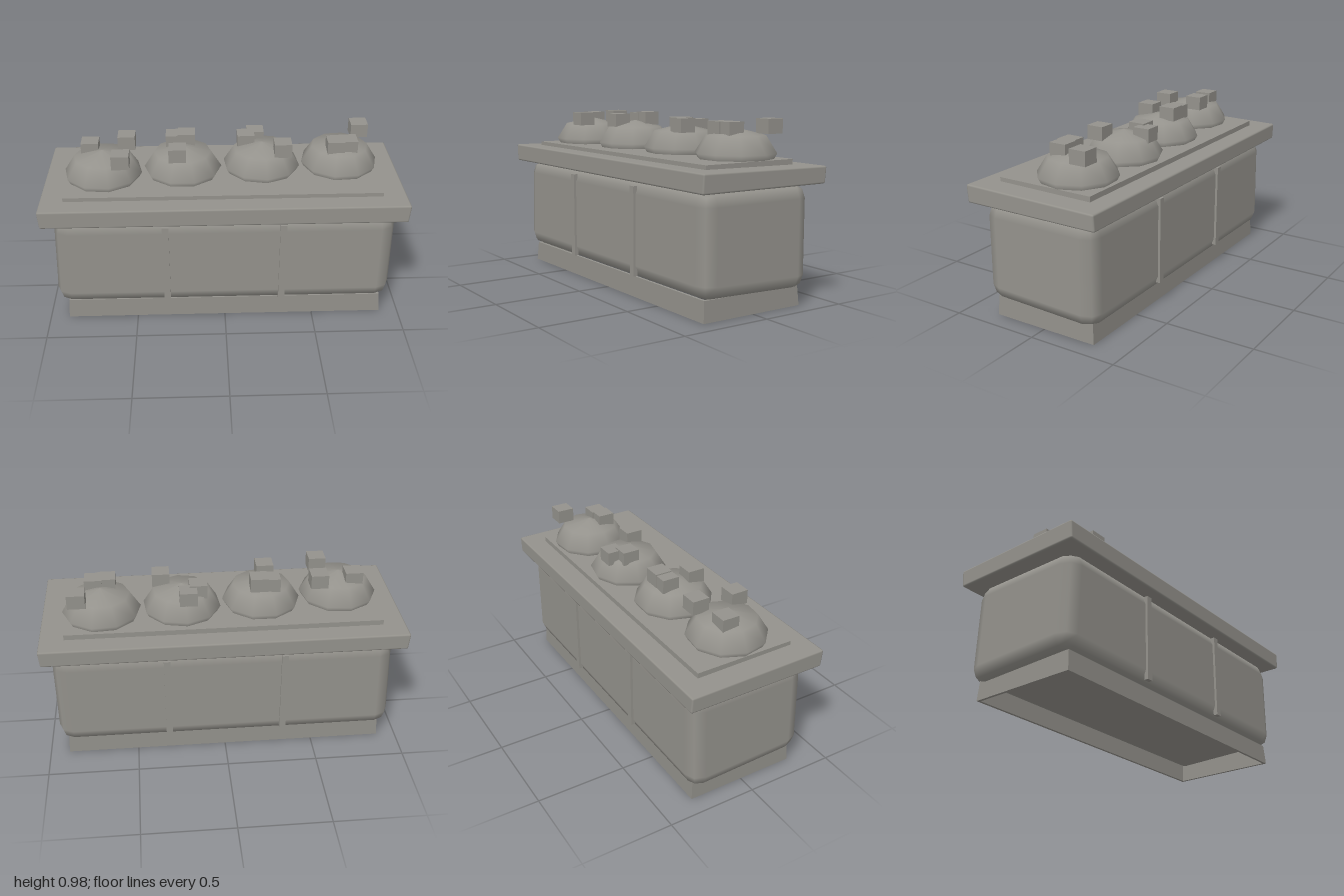
import * as THREE from 'three';
import { RoundedBoxGeometry } from 'three/addons/geometries/RoundedBoxGeometry.js';

export function createModel() {
  const group = new THREE.Group();
  group.name = 'planter';
  const stone = new THREE.MeshStandardMaterial({ color: 0x94928c });
  stone.name = 'stoneGrey';

  function add(name, geometry, x = 0, y = 0, z = 0) {
    const mesh = new THREE.Mesh(geometry, stone);
    mesh.name = name;
    mesh.position.set(x, y, z);
    group.add(mesh);
    return mesh;
  }

  // Move every vertex by a rule
  function warp(geometry, rule) {
    const p = geometry.attributes.position;
    const v = new THREE.Vector3();
    for (let i = 0; i < p.count; i++) {
      rule(v.fromBufferAttribute(p, i));
      p.setXYZ(i, v.x, v.y, v.z);
    }
    return geometry;
  }

  // Plinth: a thin frame, open underneath
  const rect = (path, w, d) => path.moveTo(-w, -d).lineTo(w, -d).lineTo(w, d).lineTo(-w, d).closePath();
  const frame = rect(new THREE.Shape(), 0.895, 0.312);
  frame.holes.push(rect(new THREE.Path(), 0.88, 0.297));
  const plinth = new THREE.ExtrudeGeometry(frame, { depth: 0.112, bevelEnabled: false });
  plinth.rotateX(-Math.PI / 2);
  warp(plinth, (v) => {
    if (v.y > 0.05) { v.x *= 0.992; v.z *= 0.975; }
  });
  add('plinth', plinth);

  // Trough with softened edges, slightly uneven
  const trough = new RoundedBoxGeometry(1.875, 0.555, 0.685, 1, 0.08);
  warp(trough, (v) => {
    if (v.x < 0) v.x -= v.y < 0 ? 0.01 : -0.005;
    if (v.y < 0) v.y += v.z * 0.03;
  });
  add('trough', trough, 0, 0.373, 0);

  // Rim slab, a little wider at the top
  const rim = new RoundedBoxGeometry(1.99, 0.097, 0.785, 1, 0.01);
  warp(rim, (v) => {
    if (v.y < 0) v.x *= 0.993;
    else v.y += v.z * 0.012;
  });
  add('rim', rim, -0.002, 0.694, 0);

  // Soil bed
  add('soilBed', new THREE.BoxGeometry(1.73, 0.04, 0.56), -0.005, 0.748, 0);

  // Upright strips on front and back
  for (const x of [-0.325, 0.318]) {
    for (const side of [1, -1]) {
      add('strip', new THREE.BoxGeometry(0.036, 0.485, 0.024), x, 0.373, side * 0.344);
    }
  }

  // Low shrub domes
  const profile = [[0.193, 0.755], [0.216, 0.797], [0.158, 0.889], [0, 0.926]]
    .map(([r, y]) => new THREE.Vector2(r, y));
  const shrubs = [[-0.667, 0.025, 0.2], [-0.225, -0.018, 0.3], [0.218, -0.048, 0.1], [0.66, -0.065, 0.4]];
  for (const [x, z, turn] of shrubs) {
    add('shrub', new THREE.LatheGeometry(profile, 10), x, 0, z).rotation.y = turn;
  }

  // Block-shaped blooms, three on each shrub
  const bloom = new THREE.BoxGeometry(0.096, 0.077, 0.096);
  const blooms = [
    [-0.737, 0.917, -0.035], [-0.537, 0.932, -0.078], [-0.56, 0.924, 0.143],
    [-0.27, 0.93, -0.09], [-0.203, 0.936, -0.093], [-0.253, 0.927, 0.08],
    [0.187, 0.91, -0.167], [0.13, 0.918, -0.102], [0.329, 0.925, 0.032],
    [0.782, 0.937, -0.186], [0.625, 0.922, 0.007], [0.697, 0.922, -0.002],
  ];
  for (const [x, y, z] of blooms) add('bloom', bloom, x, y, z);

  return group;
}
